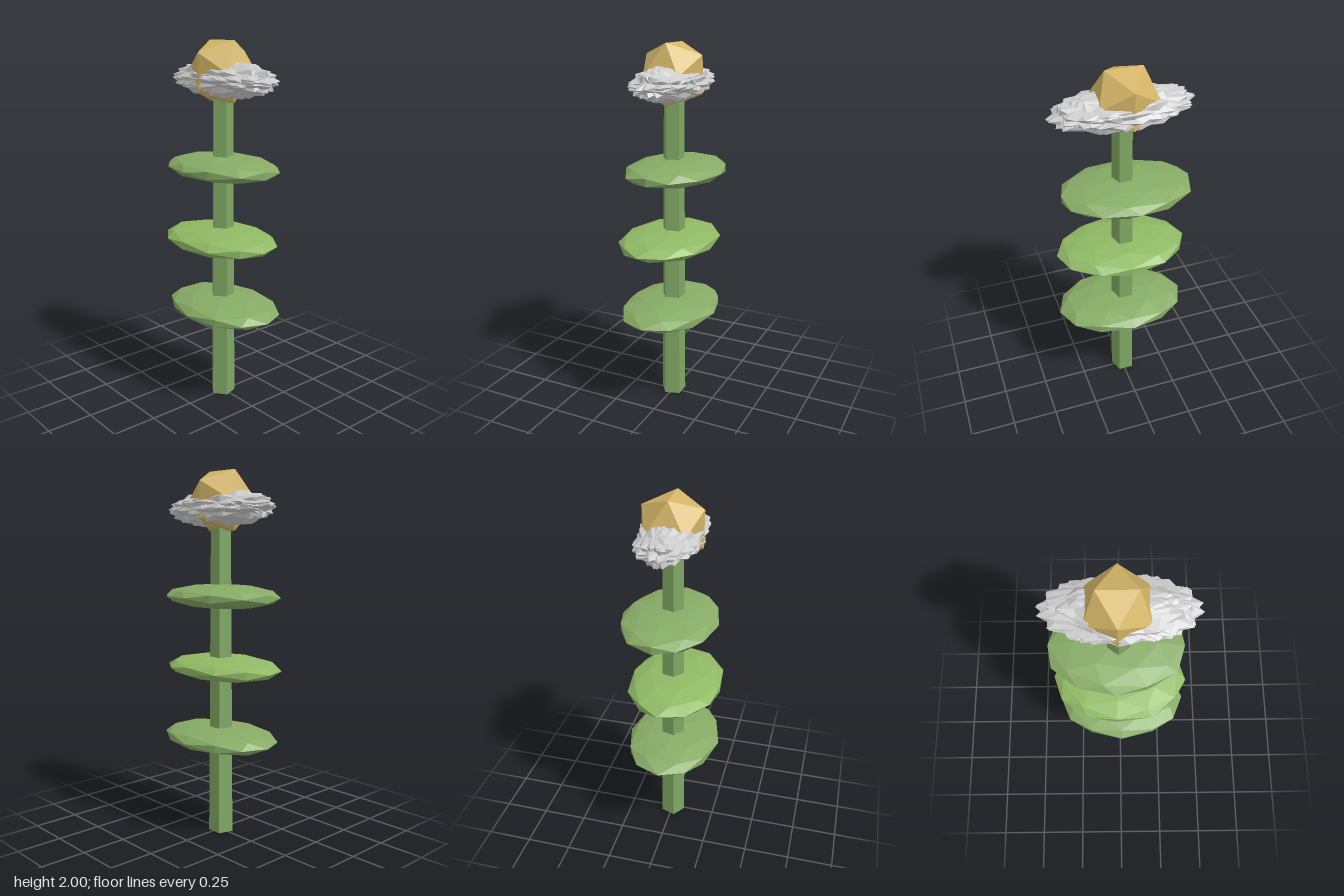
import * as THREE from 'three';
import { mergeGeometries } from 'three/addons/utils/BufferGeometryUtils.js';

const mat = (color) => new THREE.MeshStandardMaterial({ color, flatShading: true });

export function createModel() {
  const group = new THREE.Group();
  const add = (name, geometry, material, x, y, z) => {
    const mesh = new THREE.Mesh(geometry, material);
    mesh.name = name;
    mesh.position.set(x, y, z);
    group.add(mesh);
  };

  // Five-sided tapering stem
  add('stem', new THREE.CylinderGeometry(0.057, 0.071, 1.78, 5), mat(0x7fa763), -0.008, 0.89, 0.003);

  // Flattened faceted leaf tiers, each turned a little further
  const tiers = [
    { x: 0.008, y: 0.543, z: 0.008, color: 0x86ab65 },
    { x: -0.002, y: 0.938, z: 0.022, color: 0x8fb964 },
    { x: -0.02, y: 1.333, z: -0.008, color: 0x86ab65 },
  ];
  tiers.forEach(({ x, y, z, color }, i) => {
    const leaf = new THREE.IcosahedronGeometry(1, 1).rotateY(i * 0.5).scale(0.367, 0.068, 0.262);
    add('leafTier' + (i + 1), leaf, mat(color), x, y, z);
  });

  // Spiky petal mass: overlapping icosahedra at varied turns, flattened together
  const petals = [];
  for (let i = 0; i < 12; i++) {
    petals.push(new THREE.IcosahedronGeometry(1, 0)
      .rotateZ(i * 0.47).rotateY(i * 0.29).rotateX(i * 0.83)
      .scale(0.383, 0.102, 0.176));
  }
  add('petals', mergeGeometries(petals), mat(0xcccccc), 0, 1.8, 0);

  // Golden flower heart
  add('flowerHeart', new THREE.IcosahedronGeometry(0.187, 0), mat(0xd2b466), -0.012, 1.841, 0.003);

  return group;
}
